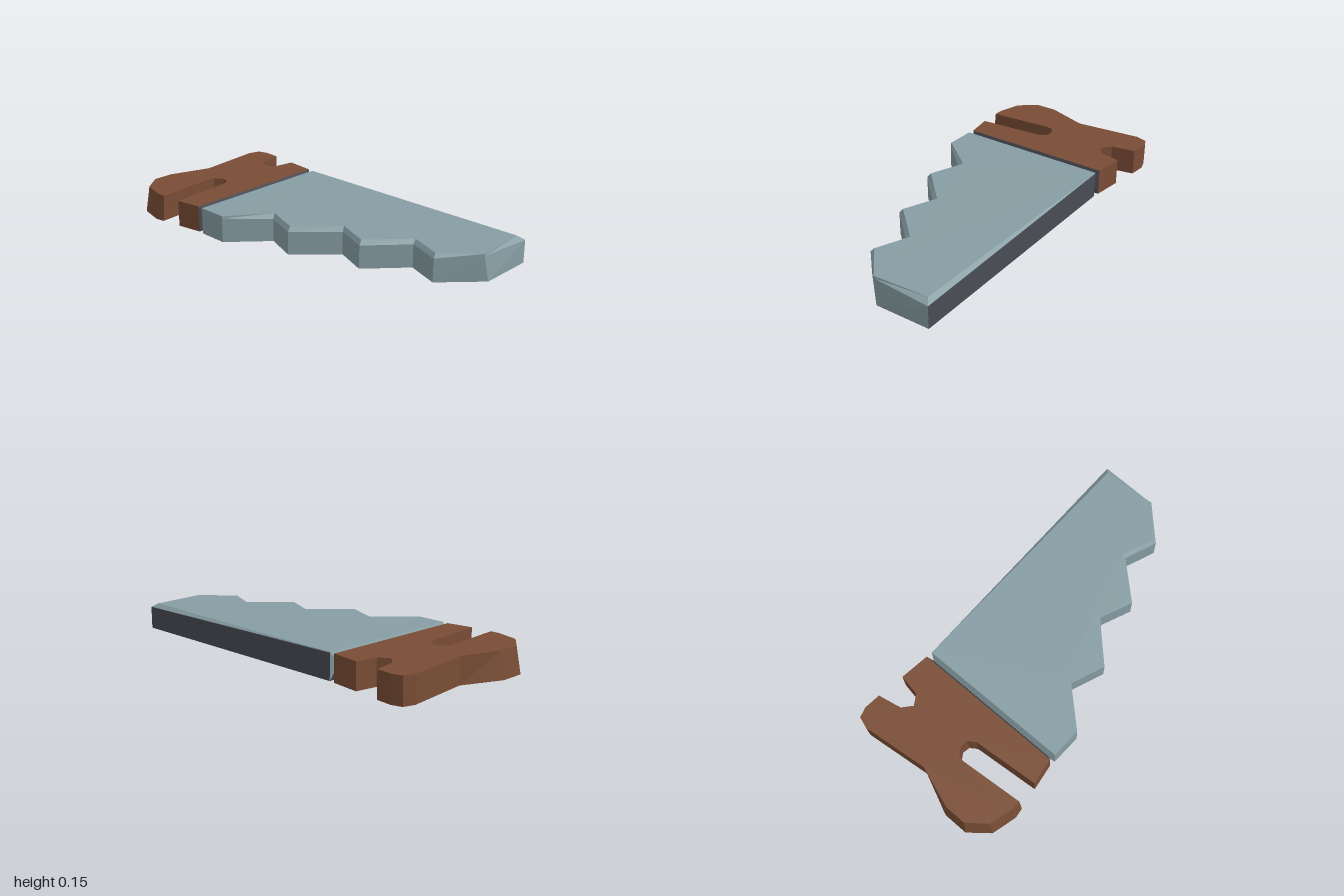
import * as THREE from 'three';

const steel = new THREE.MeshStandardMaterial({ name: 'steel', color: 0x879ea4, flatShading: true });
const darkSteel = new THREE.MeshStandardMaterial({ name: 'darkSteel', color: 0x494c53, flatShading: true });
const wood = new THREE.MeshStandardMaterial({ name: 'wood', color: 0x794d35, flatShading: true });

// Joins equal-length loops of [x, y, z] points with walls; loops run
// counterclockwise seen from the end of the loft. isDark(level, side) puts a
// wall, or the cap at level 'bottom' or 'top', in the second material group.
function loft(loops, capped, isDark = () => false) {
  const groups = [[], []];
  const tri = (dark, ...corners) => groups[dark ? 1 : 0].push(...corners.flat());
  for (let k = 0; k < loops.length - 1; k++) {
    const lo = loops[k], hi = loops[k + 1];
    lo.forEach((a, i) => {
      const j = (i + 1) % lo.length;
      tri(isDark(k, i), a, lo[j], hi[j]);
      tri(isDark(k, i), a, hi[j], hi[i]);
    });
  }
  if (capped) {
    [['bottom', loops[0], -1], ['top', loops[loops.length - 1], 1]].forEach(([level, loop, side]) => {
      const flat = loop.map(p => new THREE.Vector2(p[0], -p[2]));
      THREE.ShapeUtils.triangulateShape(flat.slice(), []).forEach(([a, b, c]) => {
        const area = THREE.ShapeUtils.area([flat[a], flat[b], flat[c]]);
        if (area * side > 0) tri(isDark(level), loop[a], loop[b], loop[c]);
        else tri(isDark(level), loop[a], loop[c], loop[b]);
      });
    });
  }
  const geo = new THREE.BufferGeometry();
  geo.setAttribute('position', new THREE.Float32BufferAttribute(groups.flat(), 3));
  geo.addGroup(0, groups[0].length / 3, 0);
  geo.addGroup(groups[0].length / 3, groups[1].length / 3, 1);
  geo.computeVertexNormals();
  return geo;
}

function part(name, geo, material) {
  const mesh = new THREE.Mesh(geo, material);
  mesh.name = name;
  return mesh;
}

// Toothed blade: straight lower wall, then a bevel that widens toward the tip
function bladeGeometry() {
  // Each row: base x, base z, shoulder height, top x, top z, top height,
  // and how far the shoulder leans from the base toward the top
  const rows = [
    [-0.435, 0.425, 0.13, -0.435, 0.425, 0.142],
    [-0.27, 0.432, 0.13, -0.27, 0.43, 0.142],
    [-0.09, 0.242, 0.122, -0.102, 0.22, 0.147],
    [0.09, 0.315, 0.122, 0.085, 0.295, 0.146],
    [0.285, 0.125, 0.122, 0.275, 0.105, 0.145],
    [0.46, 0.2, 0.122, 0.455, 0.18, 0.145],
    [0.64, 0.01, 0.122, 0.635, -0.012, 0.144],
    [0.815, 0.08, 0.122, 0.81, 0.06, 0.144],
    [1, -0.108, 0.132, 0.983, -0.087, 0.143, 0.9],
    [1, -0.41, 0.122, 0.967, -0.385, 0.143],
    [-0.435, -0.41, 0.138, -0.435, -0.41, 0.142],
  ];
  const spine = rows.length - 2;
  return loft([
    rows.map(([x, z]) => [x, 0, z]),
    rows.map(([x, z, y, tx, tz, , lean = 0]) => [x + (tx - x) * lean, y, z + (tz - z) * lean]),
    rows.map(([, , , tx, tz, ty]) => [tx, ty, tz]),
  ], true, (level, side) => level === 'bottom' || (level === 0 && side === spine));
}

// Handle with an open finger slot in front and a notch behind
function handleGeometry() {
  // Each row: base x, base z, and optional inward shift of the top edge
  const rows = [
    [-0.945, -0.39], [-0.905, -0.03], [-1, 0.185, 0.02, 0.005], [-1, 0.32, 0.02, -0.015],
    [-0.915, 0.425, 0.012, -0.02], [-0.78, 0.462, 0, -0.02], [-0.727, 0.455, 0, -0.012],
    [-0.755, 0.095], [-0.75, 0.067], [-0.705, 0.037], [-0.665, 0.045], [-0.64, 0.083],
    [-0.61, 0.44], [-0.468, 0.42], [-0.468, -0.415], [-0.63, -0.435],
    [-0.65, -0.32], [-0.705, -0.285], [-0.755, -0.33],
    [-0.78, -0.457], [-0.87, -0.466], [-0.925, -0.45],
  ];
  return loft([
    rows.map(([x, z]) => [x, 0, z]),
    rows.map(([x, z, dx = 0, dz = 0]) => [x + dx, 0.142, z + dz]),
  ], true);
}

// Pinched neck leaving a V groove between handle and blade:
// dark on the handle half and underneath
function neckGeometry() {
  const section = (x, y0, y1, back, front) =>
    [[x, y0, back], [x, y1, back], [x, y1, front], [x, y0, front]];
  const underside = 3;
  return loft([
    section(-0.468, 0, 0.142, -0.415, 0.42),
    section(-0.454, 0.06, 0.1, -0.385, 0.395),
    section(-0.435, 0, 0.142, -0.41, 0.425),
  ], false, (level, side) => level === 0 || side === underside);
}

export function createModel() {
  const saw = new THREE.Group();
  saw.name = 'handSaw';
  saw.add(
    part('blade', bladeGeometry(), [steel, darkSteel]),
    part('handle', handleGeometry(), wood),
    part('neck', neckGeometry(), [steel, darkSteel]),
  );
  return saw;
}
